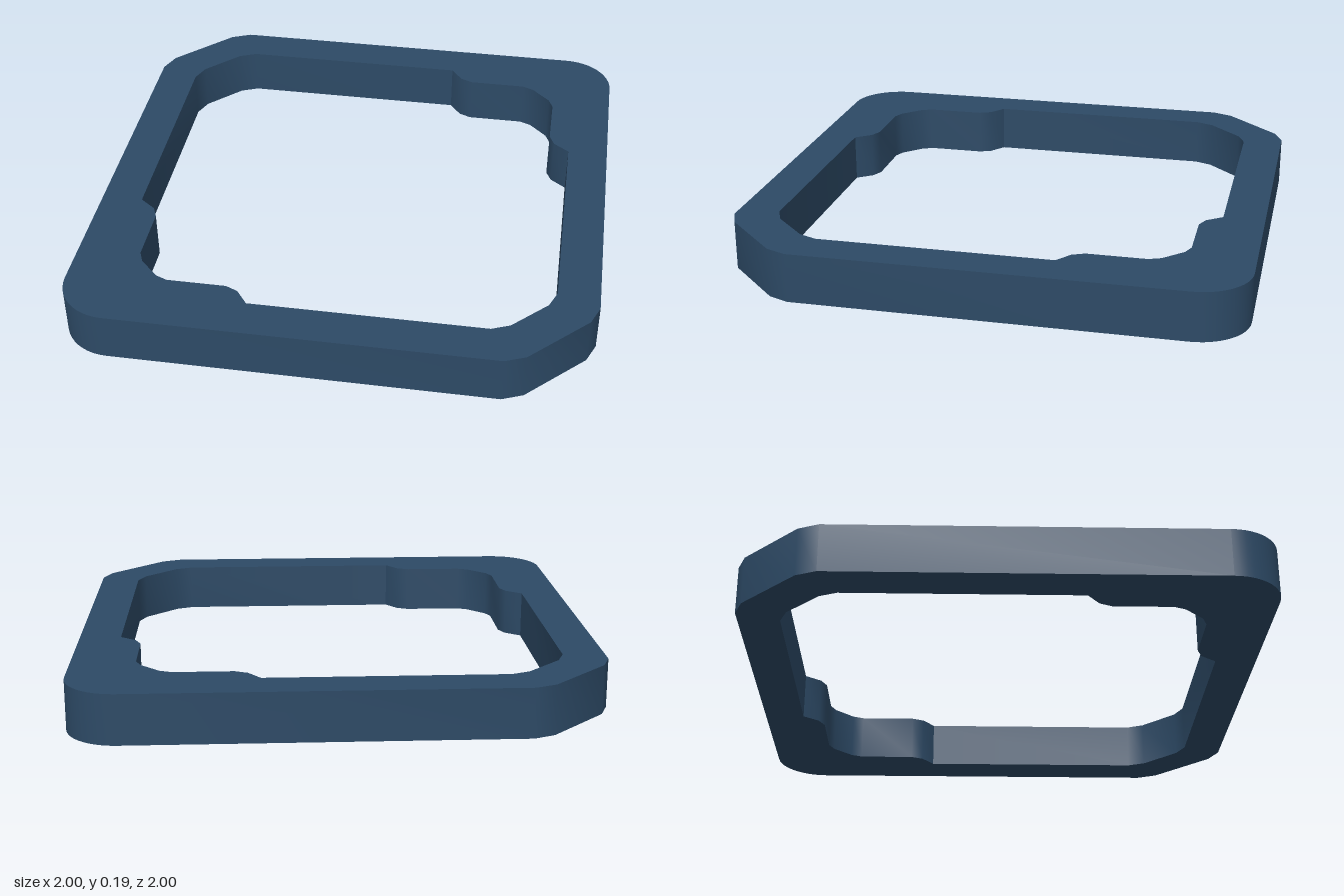
import * as THREE from 'three';
import { toCreasedNormals } from 'three/addons/utils/BufferGeometryUtils.js';

const HEIGHT = 0.19;

// Half an outline, completed by a half turn about the centre.
function halfTurn(points) {
  const half = points.map(([x, z]) => new THREE.Vector2(x, z));
  return [...half, ...half.map((p) => p.clone().negate())];
}

// Outer edge: chamfered corner with softened ends, then a round corner.
function outerOutline() {
  const points = [[1, 0.67], [0.967, 0.75], [0.75, 0.967], [0.67, 1]];
  const radius = 0.2;
  for (let i = 0; i <= 12; i++) {
    const a = Math.PI / 2 + (i / 12) * (Math.PI / 2);
    points.push([-1 + radius + radius * Math.cos(a), 1 - radius + radius * Math.sin(a)]);
  }
  return halfTurn(points);
}

// Opening: chamfered corner, then a corner thickened by a stepped pad.
function innerOutline() {
  return halfTurn([
    [0.84, 0.61], [0.811, 0.68], [0.68, 0.811], [0.61, 0.84],
    [-0.295, 0.84], [-0.342, 0.778], [-0.39, 0.757],
    [-0.618, 0.757], [-0.664, 0.738], [-0.738, 0.664], [-0.757, 0.618],
    [-0.757, 0.39], [-0.778, 0.342], [-0.84, 0.295],
  ]);
}

export function createModel() {
  const group = new THREE.Group();
  group.name = 'squareFrame';

  const navy = new THREE.MeshStandardMaterial({ color: 0x2d4a66 });
  navy.name = 'navy';

  // Flat ring, laid down and raised to stand on the ground
  const shape = new THREE.Shape(outerOutline());
  shape.holes.push(new THREE.Path(innerOutline()));
  const geometry = new THREE.ExtrudeGeometry(shape, { depth: HEIGHT, bevelEnabled: false });
  geometry.rotateX(Math.PI / 2);
  geometry.translate(0, HEIGHT, 0);

  const frame = new THREE.Mesh(toCreasedNormals(geometry, 0.7), navy);
  frame.name = 'frame';
  group.add(frame);
  return group;
}
